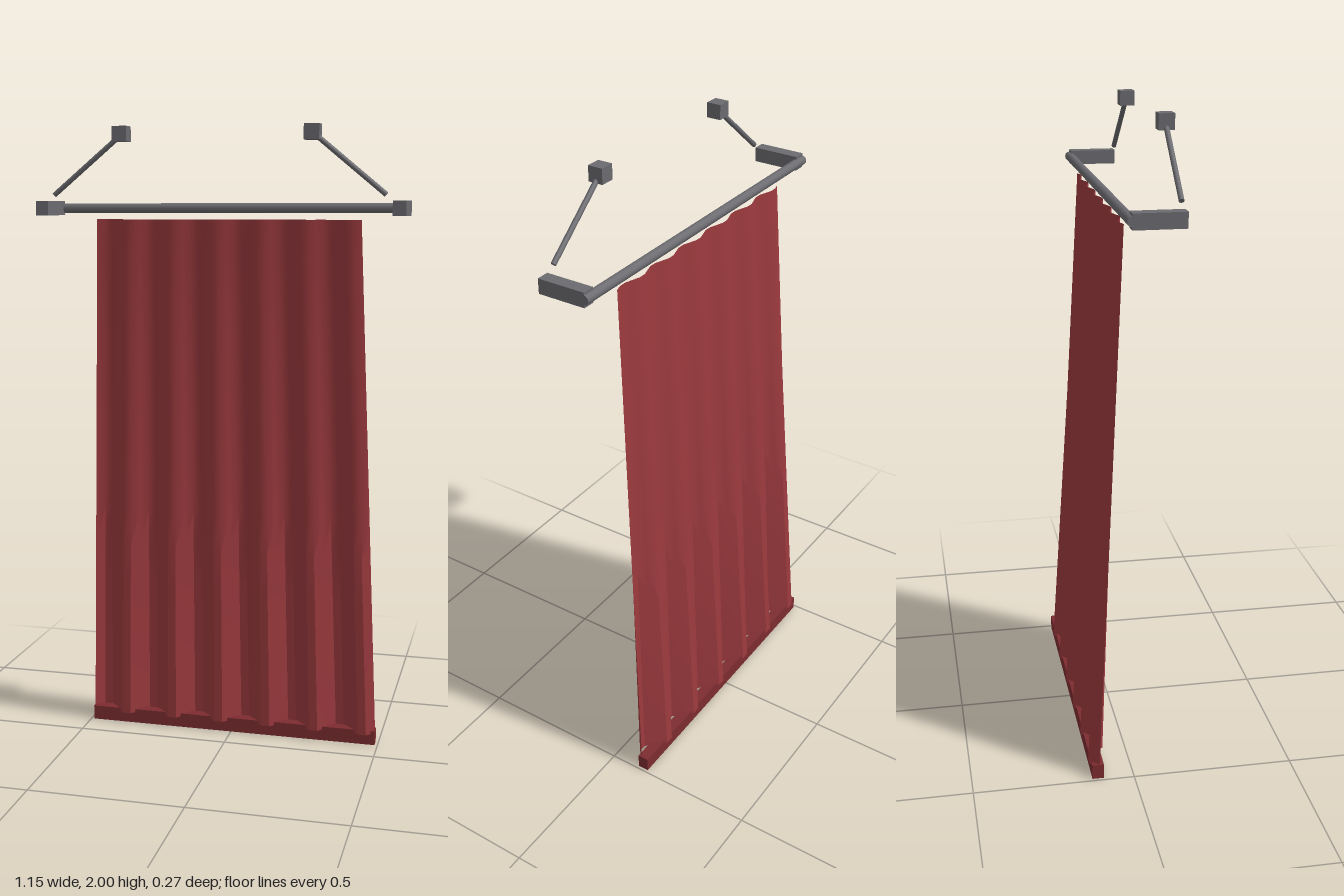
import * as THREE from 'three';
import { toCreasedNormals } from 'three/addons/utils/BufferGeometryUtils.js';

export function createModel() {
  const model = new THREE.Group();
  const metal = new THREE.MeshStandardMaterial({ color: 0x6b6b70 });
  const cloth = new THREE.MeshStandardMaterial({ color: 0x9c3a3e, side: THREE.DoubleSide });
  const hemRed = new THREE.MeshStandardMaterial({ color: 0x7d2c30 });

  const add = (name, geometry, material, x = 0, y = 0, z = 0) => {
    const mesh = new THREE.Mesh(geometry, material);
    mesh.name = name;
    mesh.position.set(x, y, z);
    model.add(mesh);
    return mesh;
  };
  const rodBetween = (name, a, b, radius) => {
    const dir = b.clone().sub(a);
    const mid = a.clone().add(b).multiplyScalar(0.5);
    const mesh = add(name, new THREE.CylinderGeometry(radius, radius, dir.length(), 12), metal, mid.x, mid.y, mid.z);
    mesh.quaternion.setFromUnitVectors(new THREE.Vector3(0, 1, 0), dir.normalize());
  };

  // Pleated cloth: six folds that widen and deepen towards the bottom
  const folds = 6;
  const sheet = new THREE.PlaneGeometry(1, 1, folds * 6, 14);
  const p = sheet.attributes.position;
  for (let i = 0; i < p.count; i++) {
    const u = p.getX(i) + 0.5;
    const t = 0.5 - p.getY(i); // 0 at the top, 1 at the bottom
    const width = THREE.MathUtils.lerp(0.85, 0.98, t);
    const depth = THREE.MathUtils.lerp(0.0085, 0.0315, t);
    const z = THREE.MathUtils.lerp(-0.027, -0.108, t) - depth * Math.sin(u * folds * Math.PI * 2);
    p.setXYZ(i, (u - 0.5) * width, THREE.MathUtils.lerp(1.72, 0.037, t), z);
  }
  add('cloth', toCreasedNormals(sheet, 0.65), cloth);

  // Weighted bar along the bottom edge
  add('hemBar', new THREE.BoxGeometry(0.98, 0.048, 0.036), hemRed, 0, 0.024, -0.112);

  // Hanging rod
  rodBetween('rod', new THREE.Vector3(-0.575, 1.755, -0.031), new THREE.Vector3(0.575, 1.755, -0.031), 0.015);

  // End brackets, diagonal stays and their mounting blocks
  for (const [side, s] of [['left', 1], ['right', -1]]) {
    add(side + 'Bracket', new THREE.BoxGeometry(0.04, 0.045, 0.15), metal, s * 0.555, 1.755, 0.043);
    rodBetween(side + 'Stay', new THREE.Vector3(s * 0.515, 1.795, 0.112), new THREE.Vector3(s * 0.295, 1.975, 0.112), 0.008);
    add(side + 'MountBlock', new THREE.BoxGeometry(0.046, 0.046, 0.046), metal, s * 0.295, 1.977, 0.112);
  }
  return model;
}
